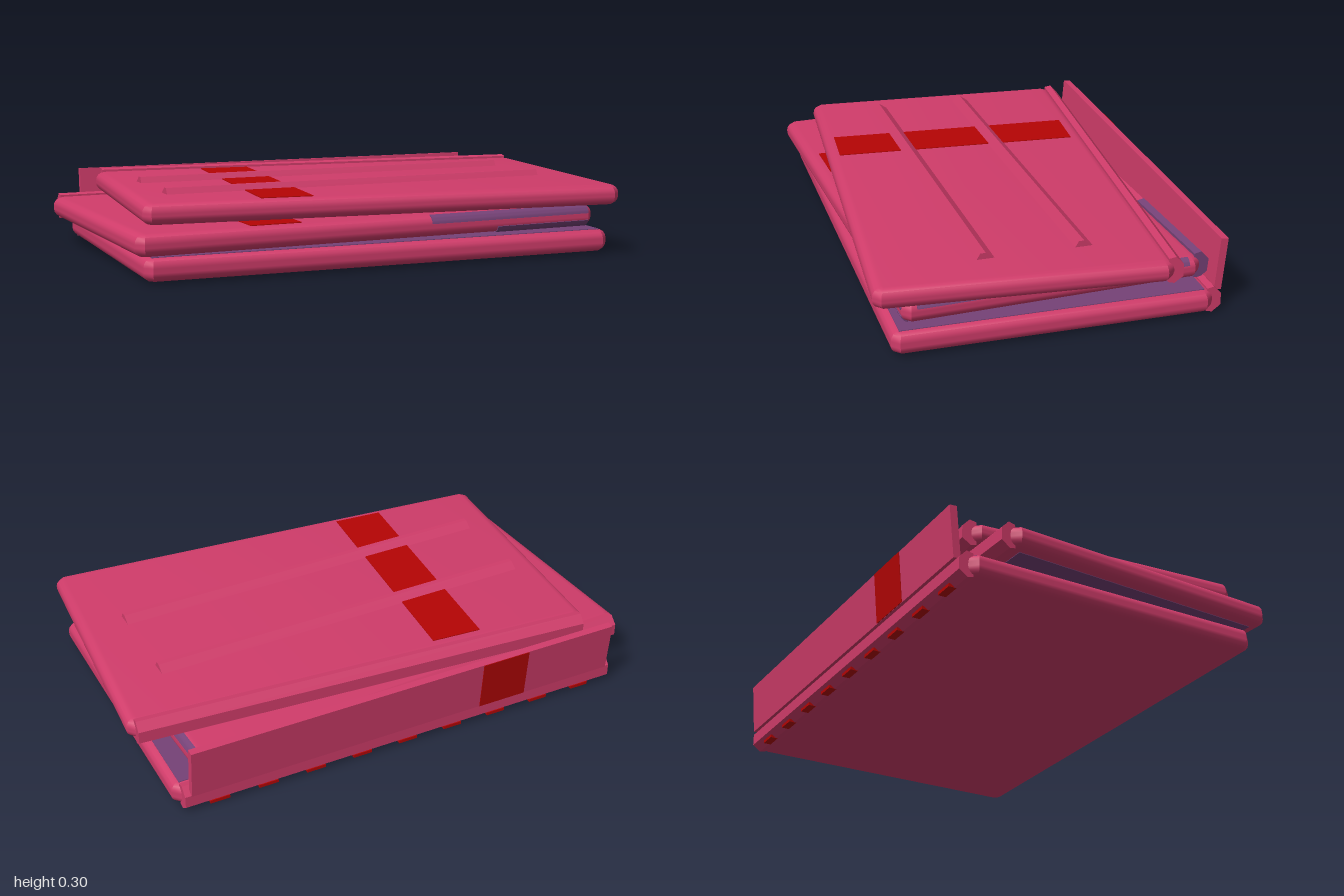
import * as THREE from 'three';
import { toCreasedNormals } from 'three/addons/utils/BufferGeometryUtils.js';

const material = (name, color) => {
  const m = new THREE.MeshStandardMaterial({ color });
  m.name = name;
  return m;
};

export function createModel() {
  const pink = material('pink', 0xd03c6a);
  const red = material('red', 0xb60404);
  const purple = material('purple', 0x764277);
  const model = new THREE.Group();
  model.name = 'foldedPanels';

  function add(parent, name, geometry, mat, x = 0, y = 0, z = 0) {
    const mesh = new THREE.Mesh(geometry, mat);
    mesh.name = name;
    mesh.position.set(x, y, z);
    parent.add(mesh);
    return mesh;
  }
  const box = (w, h, d) => new THREE.BoxGeometry(w, h, d);
  const rim = 0.034;

  // Flat slab with rounded rims and small clipped corners, centred on the origin
  function slabGeometry(w, h, d) {
    const c = 0.008, x = w / 2 - rim, z = d / 2 - rim;
    const shape = new THREE.Shape([
      [-x + c, -z], [x - c, -z], [x, -z + c], [x, z - c],
      [x - c, z], [-x + c, z], [-x, z - c], [-x, -z + c],
    ].map(p => new THREE.Vector2(...p)));
    const g = new THREE.ExtrudeGeometry(shape, {
      depth: h - 2 * rim, bevelThickness: rim, bevelSize: rim, bevelSegments: 4,
    });
    g.translate(0, 0, -(h - 2 * rim) / 2).rotateX(-Math.PI / 2);
    return toCreasedNormals(g, 0.6);
  }

  // Constant cross-section of [outward, up] points, running along x
  function barGeometry(points, length) {
    const shape = new THREE.Shape(points.map(p => new THREE.Vector2(...p)));
    const g = new THREE.ExtrudeGeometry(shape, { depth: length, bevelEnabled: false });
    return g.translate(0, 0, -length / 2).rotateY(Math.PI / 2);
  }

  // Thin curved cover hugging a slab rim between two angles
  function rimCover(length, from, to) {
    const arc = r => Array.from({ length: 7 }, (_, i) => {
      const a = from + (to - from) * i / 6;
      return [r * Math.cos(a) - rim, r * Math.sin(a) + 0.006 * Math.sign(a)];
    });
    return toCreasedNormals(barGeometry([...arc(rim + 0.003), ...arc(rim - 0.004).reverse()], length), 0.6);
  }

  // Hinge spine with chamfered back
  const spineProfile = [
    [0, -0.045], [0.022, -0.05], [0.054, -0.026], [0.054, 0.02], [0.026, 0.05], [0, 0.045],
  ];

  function panel(name, w, h, d, x, y, z, turn, stripeZ) {
    const g = new THREE.Group();
    g.name = name;
    g.position.set(x, y, z);
    g.rotation.y = turn;
    add(g, 'slab', slabGeometry(w, h, d), pink);
    add(g, 'spine', barGeometry(spineProfile, 1.78), pink, 0, 0, -d / 2 + 0.02);
    add(g, 'redStripe', box(0.195, 0.004, 0.955), red, -0.39, h / 2 + 0.001, stripeZ);
    model.add(g);
    return g;
  }

  const bottom = panel('bottomPanel', 1.835, 0.085, 1.18, 0.005, 0.053, 0.001, 0, 0);
  const middle = panel('middlePanel', 1.84, 0.08, 1.12, -0.063, 0.147, 0.031, 0.052, 0.035);
  const top = panel('topPanel', 1.835, 0.077, 1.055, 0.055, 0.237, 0.063, -0.072, 0.008);

  // Purple lining on the inner faces
  add(bottom, 'lining', box(1.775, 0.003, 1.12), purple, 0, 0.0425, 0);
  add(middle, 'lining', box(1.74, 0.004, 1.02), purple, 0, -0.04, 0);
  add(top, 'lining', box(1.7, 0.004, 0.92), purple, 0, -0.0385, 0);

  // Purple tint around the right end of the middle panel
  const frontUpper = add(middle, 'frontRimTint', rimCover(0.68, 0.1, 1.3), purple, 0.55, 0, 0.56);
  const frontLower = add(middle, 'frontRimTint', rimCover(0.4, -1.3, -0.3), purple, 0.69, 0, 0.56);
  frontUpper.rotation.y = frontLower.rotation.y = Math.PI;
  const sideUpper = add(middle, 'sideRimTint', rimCover(1.02, 0.3, 1.3), purple, 0.92, 0, 0);
  sideUpper.rotation.y = -Math.PI / 2;
  add(middle, 'spineTint', barGeometry(spineProfile.map(([o, u]) => [o * 1.05, u * 1.04]), 0.5),
    purple, 0.642, 0, -0.54);

  // Hinge tabs under the bottom spine
  for (let i = 0; i < 9; i++) {
    add(bottom, 'hingeTab', box(0.075, 0.012, 0.03), red, 0.755 - i * 0.19, -0.044, -0.6);
  }

  // Upright back flap with its stripe
  const flap = new THREE.Group();
  flap.name = 'backFlap';
  flap.position.set(0.005, 0.178, -0.627);
  flap.rotation.x = -0.085;
  add(flap, 'flapPlate', box(1.735, 0.2, 0.028), pink);
  add(flap, 'flapStripe', box(0.195, 0.198, 0.004), red, -0.395, 0, -0.0145);
  model.add(flap);

  // Two raised rails across the top, steep at the front and sloped behind
  const railProfile = [[-0.034, 0], [0.034, 0], [0, 0.024], [-0.02, 0.024]];
  for (const z of [-0.118, 0.242]) {
    const rail = add(model, 'topRail', barGeometry(railProfile, 1.54), pink, 0.02, 0.274, z);
    rail.rotation.y = 0.022;
  }
  return model;
}
